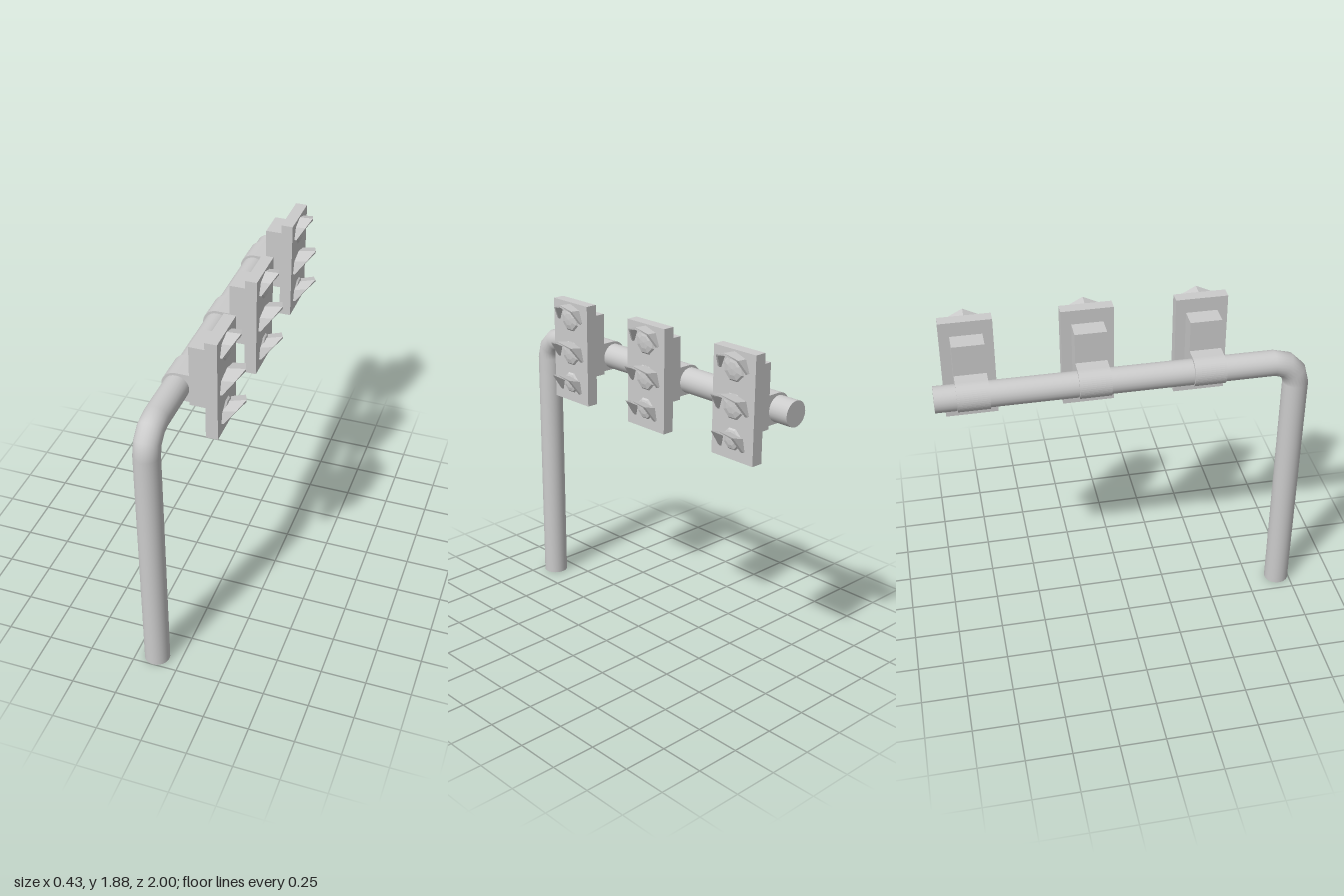
import * as THREE from 'three';

const smooth = new THREE.MeshStandardMaterial({ color: 0xcccccc });
const flat = new THREE.MeshStandardMaterial({ color: 0xcccccc, flatShading: true });
const POLE_X = -0.135, POLE_R = 0.07, ARM_Y = 1.545, BEND_R = 0.13;

function add(parent, name, geometry, material, x = 0, y = 0, z = 0) {
  const mesh = new THREE.Mesh(geometry, material);
  mesh.name = name;
  mesh.position.set(x, y, z);
  parent.add(mesh);
  return mesh;
}

// Hood: an arch of flat panels, deepest at the peak, tapering to the plate at its ends.
// arch: [z, y] from one end to the peak; the other half is mirrored.
function hoodGeometry(arch, depth, tilt) {
  const reach = [0.012, depth * 0.72, depth];
  const half = arch.map(([z, y], i) => ({ z, y, d: reach[i] }));
  const points = [...half, ...half.slice(0, 2).reverse().map(p => ({ ...p, z: -p.z }))];
  const t = 0.013;
  const sections = points.map(({ z, y, d }) => {
    const drop = tilt * d / depth;
    const zIn = z - Math.sign(z) * t, yIn = y - (z === 0 ? t : t * 0.5);
    const zBase = z * (1 - drop * 2), zInBase = zIn * (1 - drop * 2);
    return [[-0.005, y - drop, zBase], [d, y, z], [d, yIn, zIn], [-0.005, yIn - drop, zInBase]];
  });
  const pos = [];
  const quad = (a, b, c, d) => pos.push(...a, ...b, ...c, ...a, ...c, ...d);
  for (let i = 0; i < sections.length - 1; i++) {
    const s = sections[i], n = sections[i + 1];
    for (let k = 0; k < 4; k++) {
      const m = (k + 1) % 4;
      quad(s[k], s[m], n[m], n[k]);
    }
  }
  const [a, b, c, d] = sections[0];
  quad(d, c, b, a);
  quad(...sections[sections.length - 1]);
  const g = new THREE.BufferGeometry();
  g.setAttribute('position', new THREE.Float32BufferAttribute(pos, 3));
  g.computeVertexNormals();
  return g;
}

// Clamp: rounded around the back of the arm, straight towards the housing
function clampGeometry(width) {
  const r = 0.08;
  const s = new THREE.Shape();
  s.moveTo(0.075, r);
  s.lineTo(0, r);
  s.absarc(0, 0, r, Math.PI / 2, Math.PI * 1.5, false);
  s.lineTo(0.075, -r);
  s.closePath();
  const g = new THREE.ExtrudeGeometry(s, { depth: width, bevelEnabled: false, curveSegments: 12 });
  return g.translate(0, 0, -width / 2);
}

const LAMPS = [
  { y: 1.785, r: 0.07, depth: 0.075, tilt: 0.005, arch: [[0.1, 1.78], [0.075, 1.85], [0, 1.876]] },
  { y: 1.59, r: 0.07, depth: 0.1, tilt: 0.018, arch: [[0.106, 1.565], [0.087, 1.648], [0, 1.675]] },
  { y: 1.42, r: 0.06, depth: 0.105, tilt: 0.035, arch: [[0.086, 1.375], [0.075, 1.462], [0, 1.488]] },
];

function signalHead() {
  const head = new THREE.Group();
  head.name = 'signalHead';
  add(head, 'clamp', clampGeometry(0.17), smooth, POLE_X, ARM_Y + 0.003, 0);
  add(head, 'housing', new THREE.BoxGeometry(0.105, 0.35, 0.17), flat, -0.0125, 1.625, 0);
  add(head, 'plate', new THREE.BoxGeometry(0.065, 0.57, 0.28), flat, 0.0725, 1.595, 0);
  for (const { y, r, depth, tilt, arch } of LAMPS) {
    // Shallow eight-sided dome
    const dome = new THREE.SphereGeometry(r, 8, 3, 0, Math.PI * 2, 0, Math.PI / 2);
    dome.rotateY(Math.PI / 8).rotateZ(-Math.PI / 2).scale(0.018 / r, 1, 1);
    add(head, 'lamp', dome, flat, 0.105, y, 0);
    add(head, 'hood', hoodGeometry(arch, depth, tilt), flat, 0.105, 0, 0);
  }
  return head;
}

export function createModel() {
  const model = new THREE.Group();
  model.name = 'trafficSignal';

  // Post, elbow and overhead arm
  const bendY = ARM_Y - BEND_R, bendZ = 0.8;
  add(model, 'post', new THREE.CylinderGeometry(POLE_R, POLE_R, bendY, 24), smooth,
    POLE_X, bendY / 2, bendZ + BEND_R);
  const elbow = new THREE.TorusGeometry(BEND_R, POLE_R, 24, 3, Math.PI / 2).rotateY(-Math.PI / 2);
  add(model, 'elbow', elbow, smooth, POLE_X, bendY, bendZ);
  const armLength = bendZ + 1;
  const arm = new THREE.CylinderGeometry(POLE_R, POLE_R, armLength, 24).rotateX(Math.PI / 2);
  add(model, 'arm', arm, smooth, POLE_X, ARM_Y, bendZ - armLength / 2);

  // Three heads spaced along the arm
  for (const z of [0.44, -0.17, -0.8]) {
    const head = signalHead();
    head.position.z = z;
    model.add(head);
  }
  return model;
}
